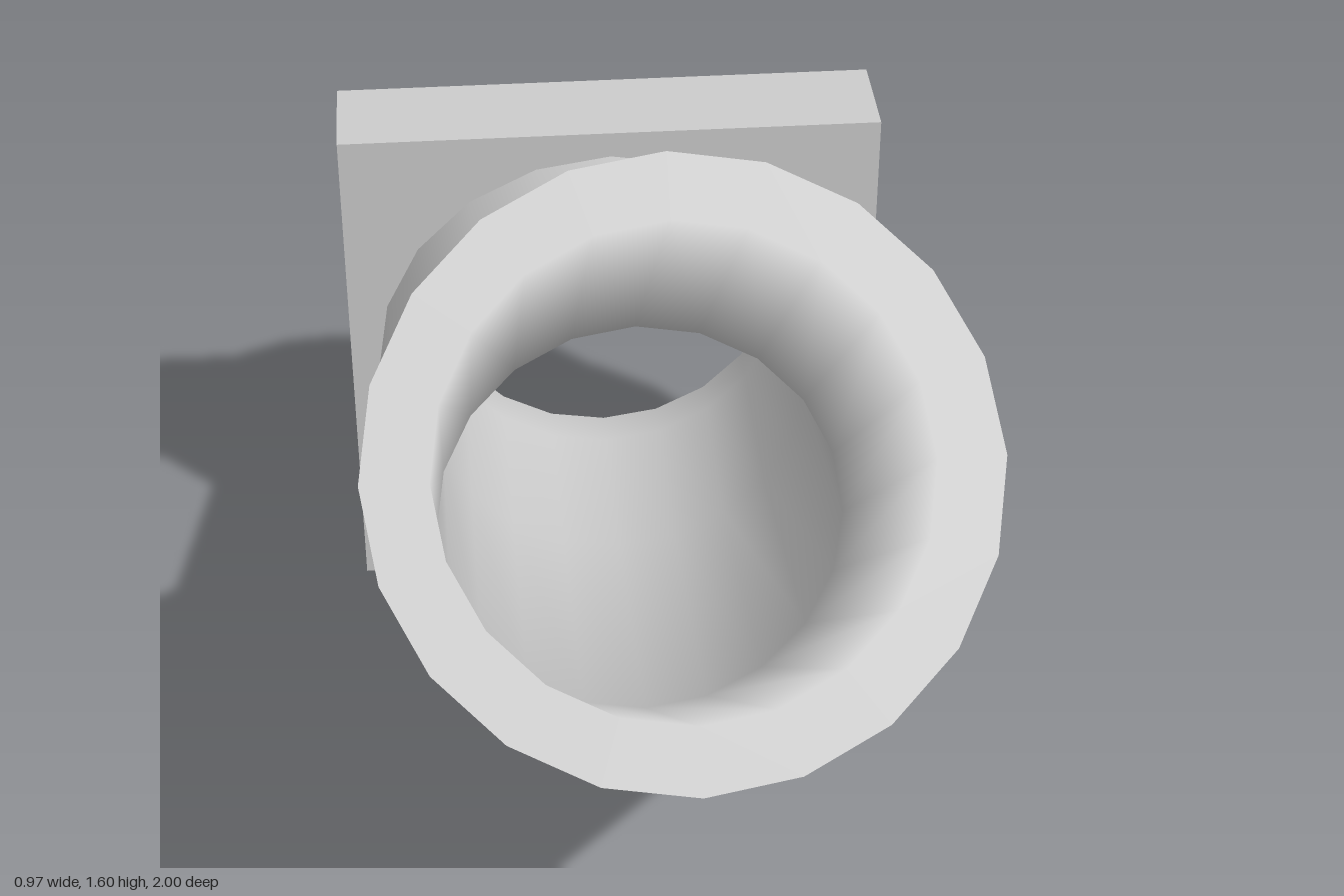
import * as THREE from 'three';

const SIDES = 20;
const OUTER = 0.435, INNER = 0.34;

// Stations along the bend: centre z, centre y, tilt in radians
const MOUTH = [0.7, 1.285, 0.761];
const BEND = [-0.0425, 0.615, 0.309];
const STRAIGHT = [-0.565, 0.4875, 0];
const back = (z) => [z, 0.4875, 0];

// Closed wall profile: outer skin to the back, round the rim, then the bore to the mouth
const RINGS = [
  [MOUTH, OUTER], [BEND, OUTER], [STRAIGHT, OUTER], [back(-0.9), OUTER],
  [back(-0.975), OUTER], [back(-1), 0.41],
  [back(-1), 0.365], [back(-0.975), INNER], [back(-0.9), INNER],
  [STRAIGHT, INNER], [BEND, INNER], [MOUTH, INNER],
];

function pipeGeometry() {
  const positions = [], index = [];
  RINGS.forEach(([[z, y, tilt], r], i) => {
    const next = (i + 1) % RINGS.length;
    for (let j = 0; j < SIDES; j++) {
      const t = (j / SIDES) * Math.PI * 2;
      const up = r * Math.cos(t);
      positions.push(r * Math.sin(t), y + up * Math.cos(tilt), z - up * Math.sin(tilt));
      const k = (j + 1) % SIDES;
      const a = i * SIDES + j, b = i * SIDES + k;
      const c = next * SIDES + j, d = next * SIDES + k;
      index.push(a, b, c, b, d, c);
    }
  });
  const geometry = new THREE.BufferGeometry();
  geometry.setAttribute('position', new THREE.Float32BufferAttribute(positions, 3));
  geometry.setIndex(index);
  geometry.computeVertexNormals();

  // The flat mouth lip takes the pipe's axis as its normal
  const normal = geometry.attributes.normal;
  for (const ring of [0, RINGS.length - 1]) {
    for (let j = 0; j < SIDES; j++) {
      normal.setXYZ(ring * SIDES + j, 0, Math.sin(MOUTH[2]), Math.cos(MOUTH[2]));
    }
  }
  return geometry;
}

// Square plate, its hole hidden inside the pipe wall
function flangeGeometry() {
  const h = 0.485;
  const shape = new THREE.Shape([
    new THREE.Vector2(-h, -h), new THREE.Vector2(h, -h),
    new THREE.Vector2(h, h), new THREE.Vector2(-h, h),
  ]);
  const hole = new THREE.Path();
  hole.absarc(0, 0, 0.39, 0, Math.PI * 2, true);
  shape.holes.push(hole);
  return new THREE.ExtrudeGeometry(shape, { depth: 0.19, bevelEnabled: false, curveSegments: 12 });
}

export function createModel() {
  const group = new THREE.Group();
  group.name = 'pipeElbow';
  const material = new THREE.MeshStandardMaterial({ color: 0xcccccc });

  const pipe = new THREE.Mesh(pipeGeometry(), material);
  pipe.name = 'bentPipe';

  const flange = new THREE.Mesh(flangeGeometry(), material);
  flange.name = 'squareFlange';
  flange.position.set(0, 0.485, -0.897);

  group.add(pipe, flange);
  return group;
}
